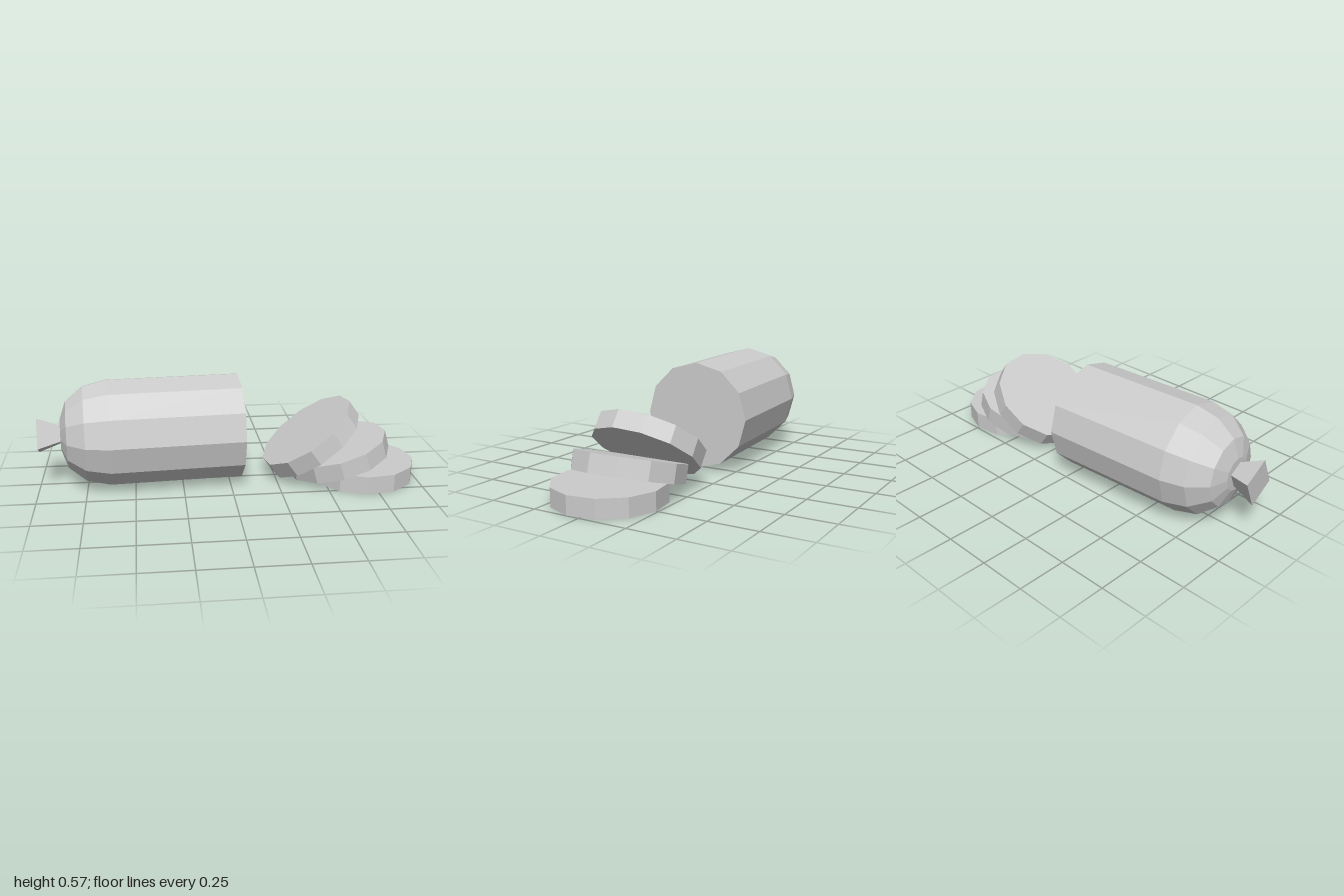
import * as THREE from 'three';

const R = 0.28; // sausage radius
const SIDES = 12;

export function createModel() {
  const model = new THREE.Group();
  const material = new THREE.MeshStandardMaterial({ color: 0xcccccc, flatShading: true });

  const addMesh = (parent, name, geometry) => {
    const mesh = new THREE.Mesh(geometry, material);
    mesh.name = name;
    parent.add(mesh);
    return mesh;
  };

  // Lying sausage, origin at the centre of its cut end, turned slightly
  const sausage = new THREE.Group();
  sausage.name = 'sausage';
  sausage.position.set(0.05, 0.287, -0.037);
  sausage.rotation.y = 0.064;
  model.add(sausage);

  // Body: rounded end, straight side, flat cut
  const profile = [
    [0, -0.932], [0.085, -0.929], [0.177, -0.897], [0.252, -0.806],
    [R, -0.685], [R, 0], [0, 0],
  ].map(([r, y]) => new THREE.Vector2(r, y));
  const body = new THREE.LatheGeometry(profile, SIDES);
  body.rotateZ(-Math.PI / 2);
  addMesh(sausage, 'sausageBody', body);

  // Flared casing knot at the rounded end
  const knot = new THREE.CylinderGeometry(0.057, 0.112, 0.12, 4);
  knot.rotateZ(-Math.PI / 2);
  knot.rotateX(0.35);
  knot.translate(-0.985, 0, 0);
  addMesh(sausage, 'casingKnot', knot);

  // Slices fanned over each other: [x, y, z, tilt]
  const slices = [
    [0.72, 0.048, 0.037, 0],
    [0.585, 0.134, 0.02, 0.273],
    [0.443, 0.218, 0.002, 0.627],
  ];
  slices.forEach(([x, y, z, tilt], i) => {
    const slice = addMesh(model, `slice${i + 1}`, new THREE.CylinderGeometry(R, R, 0.094, SIDES));
    slice.position.set(x, y, z);
    slice.rotation.set(0, -0.115, tilt, 'ZYX');
  });

  return model;
}
